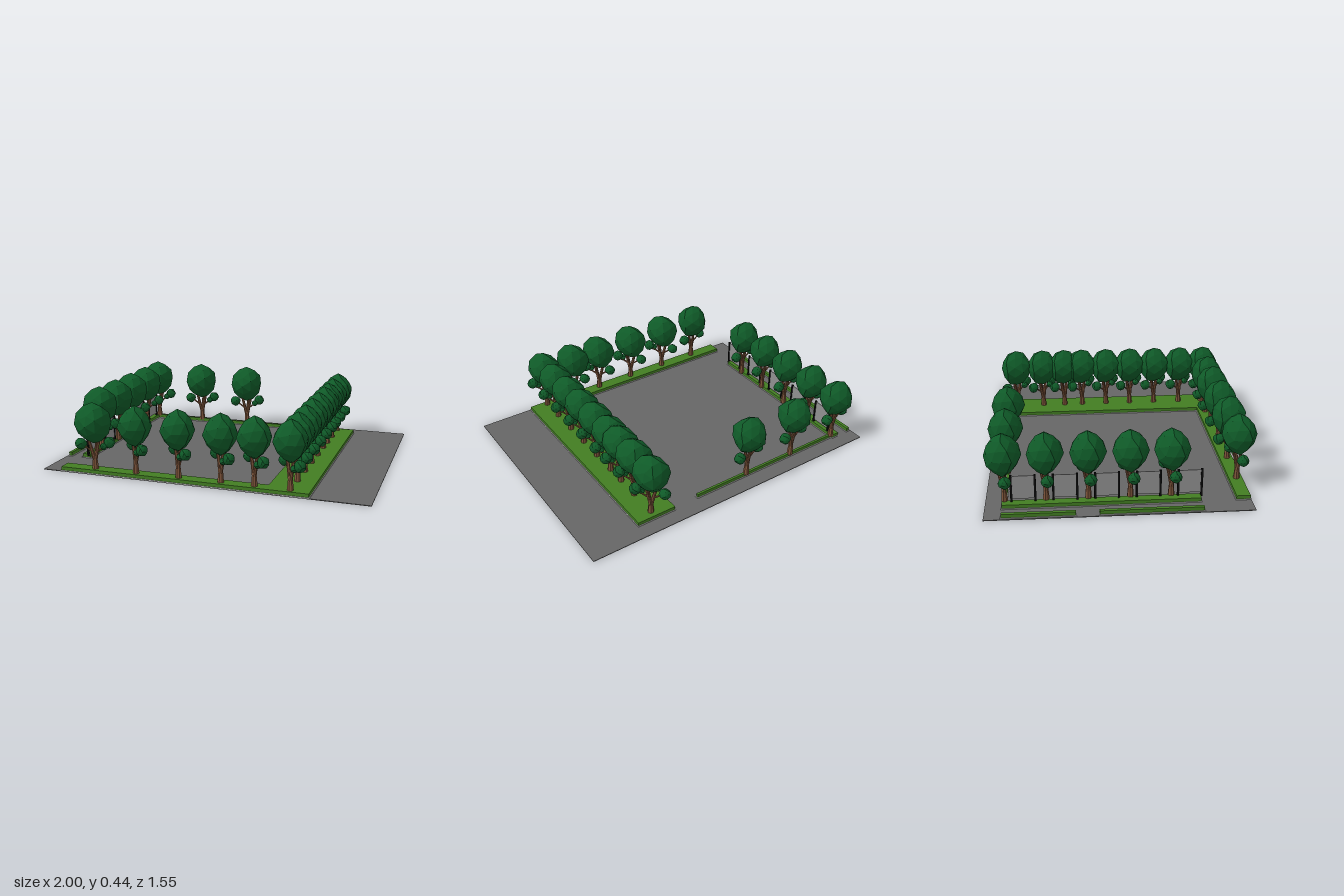
import * as THREE from 'three';

const material = (name, color, side = THREE.FrontSide) => {
  const m = new THREE.MeshStandardMaterial({ color, side, flatShading: true });
  m.name = name;
  return m;
};

export function createModel() {
  const asphalt = material('asphalt', 0x656565);
  const grass = material('grass', 0x427d22);
  const kerb = material('kerb', 0xb4b4b4);
  const leaf = material('leaf', 0x0f5a28);
  const bark = material('bark', 0x7d543a);
  const metal = material('blackMetal', 0x0a0a0a);
  const panel = material('greyPanel', 0x909090, THREE.DoubleSide);

  const model = new THREE.Group();
  model.name = 'treeLinedLot';

  const add = (parent, name, geometry, mat) => {
    const mesh = new THREE.Mesh(geometry, mat);
    mesh.name = name;
    parent.add(mesh);
    return mesh;
  };
  // Box given by its limits on each axis
  const slab = (parent, name, mat, x0, x1, y0, y1, z0, z1) => {
    const g = new THREE.BoxGeometry(x1 - x0, y1 - y0, z1 - z0);
    g.translate((x0 + x1) / 2, (y0 + y1) / 2, (z0 + z1) / 2);
    return add(parent, name, g, mat);
  };

  // Paved ground
  slab(model, 'ground', asphalt, -1, 1, 0, 0.004, -0.78, 0.71);

  // Raised grass beds with a low kerb around them: x0, x1, z0, z1
  const beds = [
    ['leftBed', 0.405, 0.655, -0.685, 0.705],
    ['frontBed', -0.88, 0.405, 0.625, 0.705],
    ['rightBed', -0.888, -0.835, -0.685, 0.425],
    ['backBed', -0.835, 0.235, -0.675, -0.66],
    ['outerBedBack', -0.988, -0.967, -0.685, -0.28],
    ['outerBedFront', -0.988, -0.967, -0.15, 0.425],
  ];
  for (const [name, x0, x1, z0, z1] of beds) {
    slab(model, name, grass, x0, x1, 0.003, 0.029, z0, z1);
    const p = 0.005;
    slab(model, name + 'Kerb', kerb, x0 - p, x1 + p, 0.002, 0.008, z0 - p, z1 + p);
  }

  // Faceted foliage: a small icosphere with each corner pushed in or out by its direction
  const foliage = (rx, ry, rz, x, y, z, seed, detail = 1) => {
    const g = new THREE.IcosahedronGeometry(1, detail);
    const pos = g.attributes.position;
    const v = new THREE.Vector3();
    for (let i = 0; i < pos.count; i++) {
      v.fromBufferAttribute(pos, i);
      const n = Math.sin(Math.round(v.x * 50) * 1.7 + Math.round(v.y * 50) * 2.9 + Math.round(v.z * 50) * 4.3 + seed);
      v.multiplyScalar(1 + 0.06 * n);
      // Slightly narrower towards the bottom
      const taper = v.y < 0 ? 1 + 0.12 * v.y : 1;
      pos.setXYZ(i, v.x * rx * taper, v.y * ry, v.z * rz * taper);
    }
    g.translate(x, y, z);
    g.computeVertexNormals();
    return g;
  };

  // Tapered limb between two points
  const limb = (a, b, r0, r1) => {
    const from = new THREE.Vector3(...a), to = new THREE.Vector3(...b);
    const dir = to.clone().sub(from);
    const g = new THREE.CylinderGeometry(r1, r0, dir.length(), 7);
    g.applyQuaternion(new THREE.Quaternion().setFromUnitVectors(new THREE.Vector3(0, 1, 0), dir.normalize()));
    const mid = from.add(to).multiplyScalar(0.5);
    return g.translate(mid.x, mid.y, mid.z);
  };

  // Shared tree parts
  const fork = [0.004, 0.085, 0];
  const parts = [
    ['trunk', limb([0.006, 0.02, 0], fork, 0.02, 0.015), bark],
    ['branch', limb([0.004, 0.078, 0], [-0.03, 0.22, 0.012], 0.013, 0.008), bark],
    ['branch', limb([0.004, 0.078, 0], [0.035, 0.23, -0.01], 0.013, 0.008), bark],
    ['branch', limb([0.004, 0.08, 0], [0.004, 0.22, -0.03], 0.01, 0.006), bark],
    ['twig', limb([-0.012, 0.135, 0.004], [-0.075, 0.18, 0.01], 0.006, 0.004), bark],
    ['twig', limb([0.018, 0.135, -0.004], [0.085, 0.185, -0.03], 0.006, 0.004), bark],
    ['canopy', foliage(0.108, 0.12, 0.102, 0, 0.311, 0, 1.3), leaf],
    ['leafCluster', foliage(0.035, 0.035, 0.036, -0.08, 0.18, 0.012, 2.1), leaf],
    ['leafCluster', foliage(0.036, 0.036, 0.034, 0.088, 0.19, -0.03, 4.2), leaf],
    ['leafCluster', foliage(0.022, 0.022, 0.022, 0.062, 0.17, -0.005, 5.5), leaf],
  ];
  const tree = (name, x, z, turn) => {
    const g = new THREE.Group();
    g.name = name;
    for (const [part, geometry, mat] of parts) add(g, part, geometry, mat);
    g.position.set(x, 0, z);
    g.rotation.y = turn;
    model.add(g);
  };

  for (const z of [-0.67, -0.44, -0.205, 0.03, 0.26]) tree('rightTree', -0.838, z, 0);
  for (const x of [-0.49, -0.138]) tree('backTree', x, -0.67, 0);
  tree('frontTree', -0.67, 0.67, 0);
  const turn = -Math.PI / 3;
  for (const x of [-0.4, -0.13, 0.13, 0.33]) tree('frontTree', x, 0.665, turn);
  for (const z of [-0.645, -0.465, -0.315, -0.19, -0.02, 0.15, 0.325, 0.505, 0.67]) tree('leftTree', 0.54, z, turn);

  // Row of panels on two posts each, along the right-hand bed
  for (let i = 0; i < 5; i++) {
    const z = 0.363 - i * 0.232;
    const stand = new THREE.Group();
    stand.name = 'panelStand';
    for (const s of [-1, 1]) {
      const c = z + s * 0.066;
      slab(stand, 'post', metal, -0.852, -0.84, 0.02, 0.19, c - 0.006, c + 0.006);
    }
    slab(stand, 'panel', panel, -0.848, -0.844, 0.045, 0.185, z - 0.06, z + 0.06);
    model.add(stand);
  }
  return model;
}
